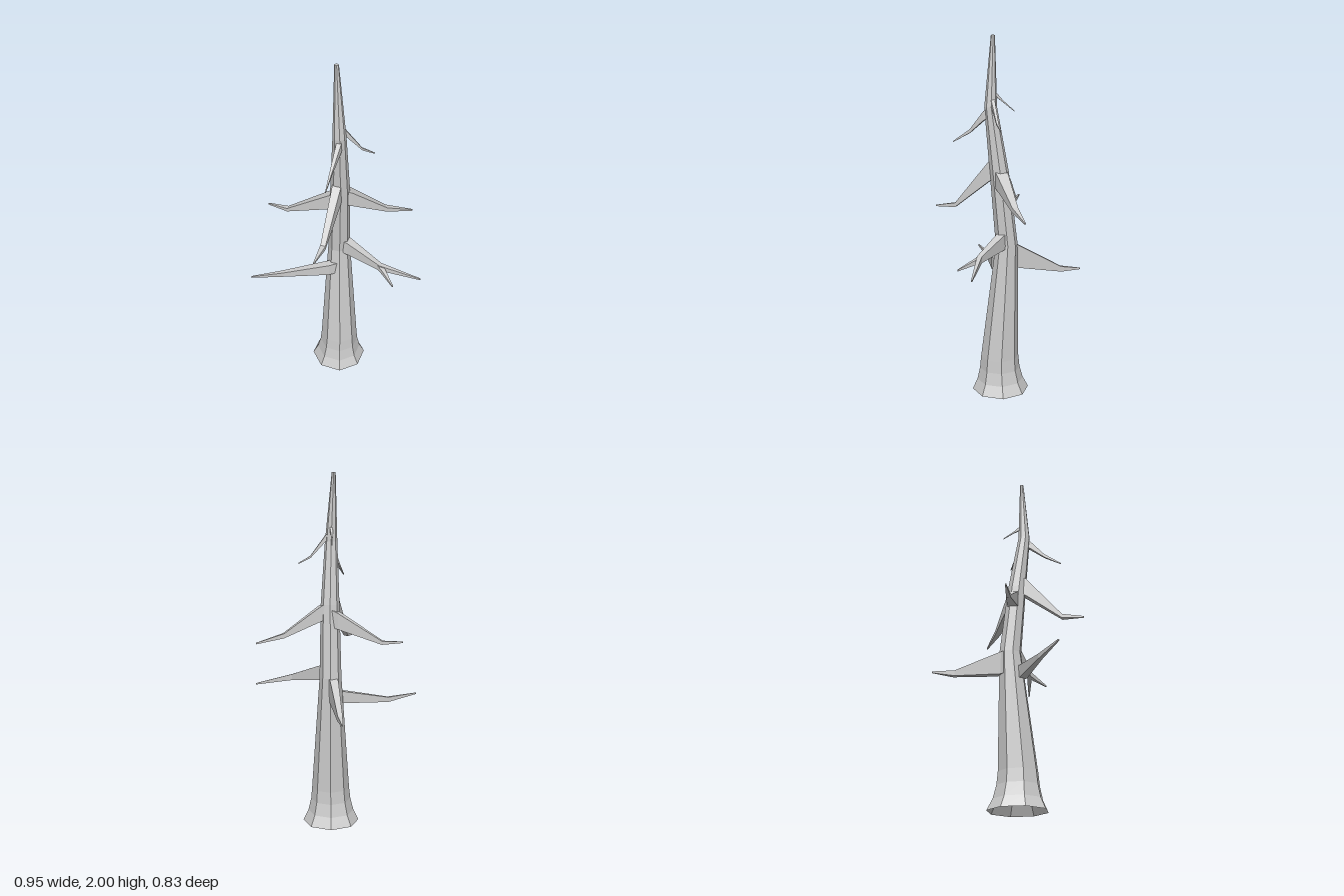
import * as THREE from 'three';

const material = new THREE.MeshStandardMaterial({ color: 0xcccccc, flatShading: true, side: THREE.DoubleSide });

// Skin a list of equal-length rings; optionally close the last (and first) ring.
function loft(name, rings, capStart, capEnd) {
  const n = rings[0].length, pos = [];
  const tri = (a, b, c) => pos.push(...a.toArray(), ...b.toArray(), ...c.toArray());
  for (let i = 0; i < rings.length - 1; i++) {
    for (let j = 0; j < n; j++) {
      const k = (j + 1) % n, a = rings[i], b = rings[i + 1];
      tri(a[j], a[k], b[k]);
      tri(a[j], b[k], b[j]);
    }
  }
  const first = rings[0], last = rings[rings.length - 1];
  for (let j = 1; j < n - 1; j++) {
    if (capStart) tri(first[0], first[j + 1], first[j]);
    if (capEnd) tri(last[0], last[j], last[j + 1]);
  }
  const geometry = new THREE.BufferGeometry();
  geometry.setAttribute('position', new THREE.Float32BufferAttribute(pos, 3));
  geometry.computeVertexNormals();
  const mesh = new THREE.Mesh(geometry, material);
  mesh.name = name;
  return mesh;
}

// Leaning eight-sided trunk with flared, open foot: [y, centre x, centre z, radius]
function makeTrunk() {
  const levels = [
    [0, 0.02, 0.053, 0.162], [0.06, 0.02, 0.055, 0.132], [0.13, 0.021, 0.057, 0.115], [0.2, 0.022, 0.057, 0.108],
    [0.86, 0.02, 0.016, 0.062], [1.27, 0.024, 0.057, 0.053], [1.62, 0.02, 0.102, 0.035], [2, 0.005, 0.088, 0.011],
  ];
  const rings = levels.map(([y, cx, cz, r]) => Array.from({ length: 8 }, (_, j) => {
    const a = 0.05 + j * Math.PI / 4;
    return new THREE.Vector3(cx + r * Math.sin(a), y, cz + r * Math.cos(a));
  }));
  return loft('trunk', rings, false, true);
}

// Four-sided tapering branch; each station is [x, y, z, width, height]
function makeBranch(name, stations) {
  const p = stations.map(s => new THREE.Vector3(s[0], s[1], s[2]));
  const rings = stations.map(([, , , w, h], i) => {
    const dir = p[Math.min(i + 1, p.length - 1)].clone().sub(p[Math.max(i - 1, 0)]);
    const side = new THREE.Vector3(dir.z, 0, -dir.x).normalize();
    return [[1, 1], [-1, 1], [-1, -1], [1, -1]].map(([u, v]) =>
      p[i].clone().addScaledVector(side, u * w / 2).add(new THREE.Vector3(0, v * h / 2, 0)));
  });
  return loft(name, rings, true, true);
}

export function createModel() {
  const group = new THREE.Group();
  group.name = 'bareTree';
  group.add(makeTrunk());

  const branches = {
    lowerBackBranch: [[0.015, 0.81, -0.01, 0.05, 0.13], [-0.004, 0.785, -0.05, 0.046, 0.13], [-0.045, 0.695, -0.3, 0.026, 0.03], [-0.06, 0.69, -0.415, 0.006, 0.008]],
    lowerLeftBranch: [[0, 0.74, 0.06, 0.05, 0.07], [-0.04, 0.736, 0.077, 0.045, 0.07], [-0.31, 0.715, 0.11, 0.022, 0.028], [-0.475, 0.74, 0.167, 0.006, 0.008]],
    lowerRightBranch: [[0.03, 0.89, 0.03, 0.06, 0.09], [0.08, 0.88, 0.06, 0.05, 0.08], [0.25, 0.832, 0.172, 0.028, 0.035], [0.475, 0.78, 0.215, 0.006, 0.008]],
    lowerRightFork: [[0.24, 0.835, 0.165, 0.026, 0.03], [0.27, 0.82, 0.206, 0.022, 0.024], [0.315, 0.792, 0.287, 0.006, 0.008]],
    middleLeftBranch: [[0.02, 1.2, 0.04, 0.06, 0.1], [-0.03, 1.18, 0.02, 0.058, 0.09], [-0.27, 1.067, -0.045, 0.026, 0.02], [-0.38, 1.075, -0.08, 0.006, 0.008]],
    middleRightBranch: [[0.03, 1.24, 0.055, 0.07, 0.09], [0.08, 1.22, 0.042, 0.066, 0.085], [0.28, 1.1, -0.015, 0.032, 0.026], [0.43, 1.06, -0.055, 0.006, 0.008]],
    middleFrontBranch: [[0.015, 1.29, 0.07, 0.05, 0.1], [0.005, 1.27, 0.11, 0.048, 0.11], [-0.062, 1.074, 0.3, 0.028, 0.024], [-0.105, 1.063, 0.413, 0.006, 0.008]],
    upperFrontBranch: [[0.022, 1.59, 0.11, 0.028, 0.05], [0.016, 1.575, 0.138, 0.026, 0.05], [-0.018, 1.49, 0.215, 0.014, 0.02], [-0.045, 1.432, 0.308, 0.004, 0.006]],
    upperRightBranch: [[0.03, 1.655, 0.095, 0.022, 0.04], [0.05, 1.64, 0.09, 0.02, 0.035], [0.135, 1.535, 0.07, 0.012, 0.012], [0.2, 1.5, 0.053, 0.004, 0.006]],
    upperBackBranch: [[0.018, 1.7, 0.09, 0.018, 0.03], [0.018, 1.69, 0.075, 0.016, 0.026], [0.012, 1.652, 0.035, 0.009, 0.01], [0.01, 1.6, -0.026, 0.004, 0.005]],
  };
  for (const [name, stations] of Object.entries(branches)) group.add(makeBranch(name, stations));
  return group;
}
